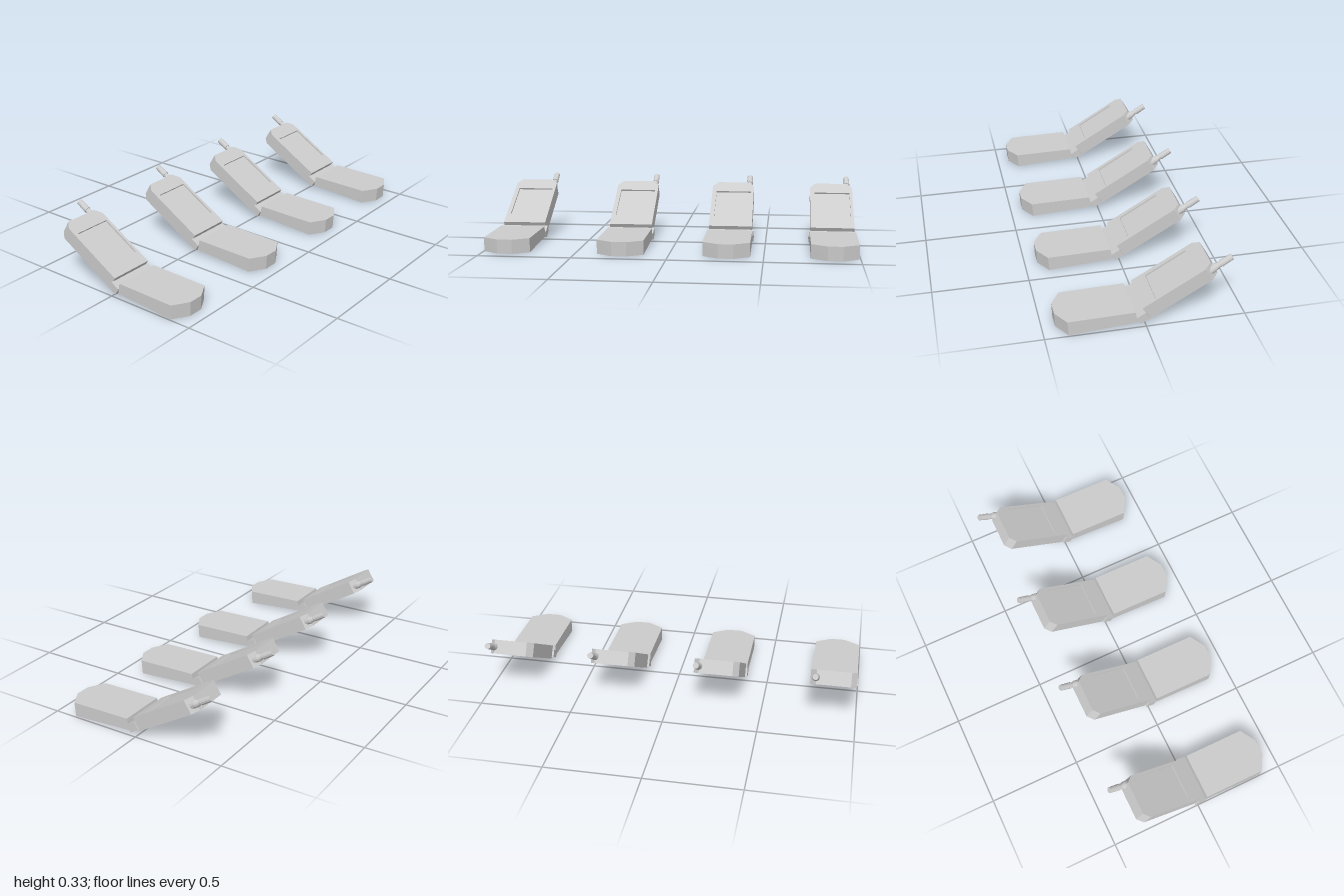
import * as THREE from 'three';

const material = new THREE.MeshStandardMaterial({ color: 0xcccccc, flatShading: true });

function addMesh(parent, name, geometry) {
  const mesh = new THREE.Mesh(geometry, material);
  mesh.name = name;
  parent.add(mesh);
  return mesh;
}

function polygon(points) {
  return new THREE.Shape(points.map(([x, y]) => new THREE.Vector2(x, y)));
}

function slab(shape, depth, z) {
  return new THREE.ExtrudeGeometry(shape, { depth, bevelEnabled: false }).translate(0, 0, z);
}

// Keypad half: faceted outline, thinning toward the hinge
function keypadGeometry() {
  const outline = polygon([
    [-0.125, 0.047], [0.125, 0.047], [0.125, 0.384],
    [0.04, 0.435], [-0.04, 0.435], [-0.125, 0.384],
  ]);
  const geometry = slab(outline, 1, 0).rotateX(Math.PI / 2);
  const p = geometry.attributes.position;
  for (let i = 0; i < p.count; i++) {
    const z = p.getZ(i);
    const t = (z - 0.047) / 0.388;
    const top = p.getY(i) > -0.5;
    p.setY(i, top ? 0.084 - 0.007 * t : Math.max(0, 0.024 * (1 - t / 0.9)));
    p.setZ(i, z + (top ? 1 : -1) * (0.006 - 0.004 * t));
  }
  geometry.computeVertexNormals();
  return geometry;
}

// Screen half, laid out with y along its length and z through its thickness
function createLid() {
  const lid = new THREE.Group();
  lid.name = 'lid';
  const outline = () => polygon([
    [-0.12, 0], [0.12, 0], [0.12, 0.357],
    [0.09, 0.394], [-0.09, 0.394], [-0.12, 0.357],
  ]);
  addMesh(lid, 'lidBody', slab(outline(), 0.067, 0));

  // Face plate with the opening that recesses the screen
  const face = outline();
  face.holes.push(polygon([[-0.096, 0.076], [-0.096, 0.31], [0.104, 0.31], [0.104, 0.076]]));
  addMesh(lid, 'screenFrame', slab(face, 0.009, 0.067));

  addMesh(lid, 'hinge', new THREE.BoxGeometry(0.262, 0.052, 0.042).translate(0, -0.024, 0.031));

  // Flared antenna base, neck and thicker tip
  const profile = [
    [0, 0.36], [0.022, 0.36], [0.021, 0.395], [0.0145, 0.418],
    [0.0145, 0.43], [0.018, 0.43], [0.016, 0.495], [0, 0.495],
  ].map(([r, y]) => new THREE.Vector2(r, y));
  addMesh(lid, 'antenna', new THREE.LatheGeometry(profile, 12)).position.set(0.092, 0, 0.037);

  lid.rotation.x = THREE.MathUtils.degToRad(-59.2);
  lid.position.set(0, 0.034, -0.021);
  return lid;
}

export function createModel() {
  const model = new THREE.Group();
  model.name = 'flipPhones';
  [-0.87, -0.257, 0.304, 0.868].forEach((x, i) => {
    const phone = new THREE.Group();
    phone.name = `phone${i + 1}`;
    addMesh(phone, 'keypadBase', keypadGeometry());
    phone.add(createLid());
    phone.position.x = x;
    model.add(phone);
  });
  return model;
}
